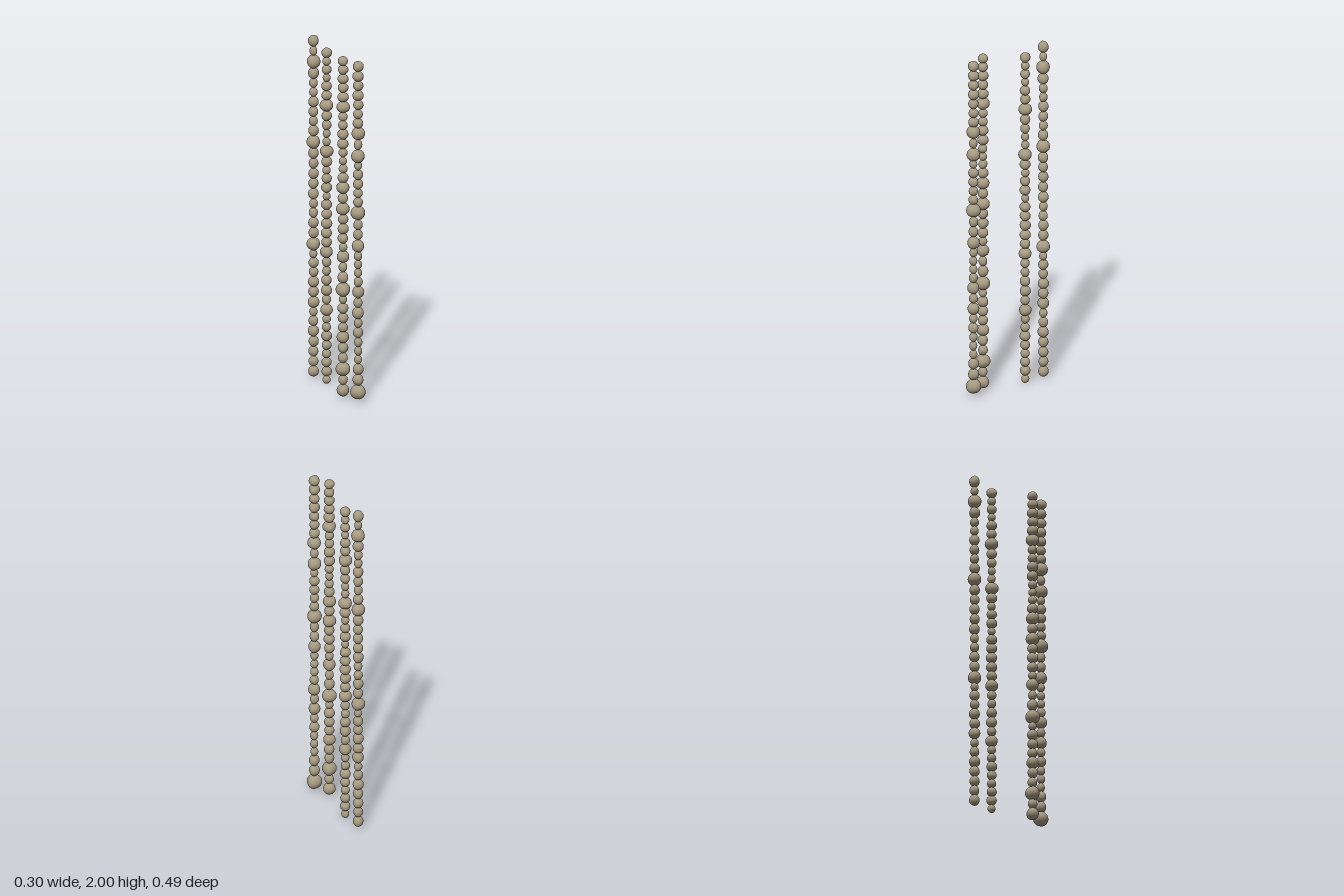
import * as THREE from 'three';
import { mergeVertices } from 'three/addons/utils/BufferGeometryUtils.js';

let seed;
function rand() {
  seed = (seed * 16807) % 2147483647;
  return seed / 2147483647;
}

// Round pebble with a slightly uneven surface
function pebble(phase) {
  let g = new THREE.IcosahedronGeometry(1, 4);
  g.deleteAttribute('uv');
  g.deleteAttribute('normal');
  g = mergeVertices(g, 1e-4);
  const p = g.attributes.position;
  const v = new THREE.Vector3();
  for (let i = 0; i < p.count; i++) {
    v.fromBufferAttribute(p, i);
    const a = Math.atan2(v.z, v.x);
    v.multiplyScalar(1 + 0.04 * Math.hypot(v.x, v.z) * Math.sin(3 * a + phase));
    p.setXYZ(i, v.x, v.y, v.z);
  }
  g.computeVertexNormals();
  return g;
}

// Fill the spaces between the key beads [height, radius] with small beads of mixed size
function layOutBeads(keys, step) {
  const beads = [{ y: keys[0][0], r: keys[0][1] }];
  for (let k = 1; k < keys.length; k++) {
    const [y0, r0] = keys[k - 1];
    const [y1, r1] = keys[k];
    const count = Math.round((y0 - y1) / step);
    const radii = [r0];
    for (let i = 1; i < count; i++) radii.push(0.0215 + 0.0095 * rand());
    radii.push(r1);
    // Beads sit apart in proportion to their sizes
    const h = radii.map((r) => r ** 0.7);
    const gaps = h.slice(1).map((v, i) => v + h[i]);
    const scale = (y0 - y1) / gaps.reduce((a, b) => a + b);
    let y = y0;
    gaps.forEach((gap, i) => {
      y -= gap * scale;
      beads.push({ y, r: radii[i + 1] });
    });
  }
  return beads;
}

function makeStrand(name, x, z, step, keys, shapes, material) {
  const strand = new THREE.Group();
  strand.name = name;
  strand.position.set(x, 0, z);
  const beads = layOutBeads(keys, step);
  // Share of the gap to a neighbour that belongs to this bead
  const reach = (a, b) => Math.abs(a.y - b.y) * a.r ** 0.7 / (a.r ** 0.7 + b.r ** 0.7);
  beads.forEach((b, i) => {
    const above = beads[i - 1] ?? beads[i + 1];
    const below = beads[i + 1] ?? beads[i - 1];
    const bead = new THREE.Mesh(shapes[i % shapes.length], material);
    bead.name = 'bead';
    bead.position.y = b.y;
    bead.scale.set(b.r, (reach(b, above) + reach(b, below)) * 0.52, b.r);
    bead.rotation.set((rand() - 0.5) * 0.2, rand() * Math.PI * 2, (rand() - 0.5) * 0.2);
    strand.add(bead);
  });
  return strand;
}

export function createModel() {
  seed = 7;
  const model = new THREE.Group();
  model.name = 'beadStrands';
  const stone = new THREE.MeshStandardMaterial({ color: 0xa69a82 });
  stone.name = 'warm grey stone';
  const shapes = [0, 1.3, 2.6, 4.1].map(pebble);
  const add = (name, x, z, step, keys) => model.add(makeStrand(name, x, z, step, keys, shapes, stone));

  add('backRightStrand', -0.112, -0.208, 0.058,
    [[1.968, 0.029], [1.846, 0.037], [1.377, 0.037], [0.781, 0.037], [0.442, 0.032], [0.038, 0.029]]);
  add('backLeftStrand', -0.047, -0.1, 0.0545,
    [[1.936, 0.029], [1.629, 0.037], [1.359, 0.037], [0.771, 0.035], [0.434, 0.034], [0.025, 0.022]]);
  add('frontRightStrand', 0.028, 0.143, 0.0555,
    [[1.974, 0.028], [1.706, 0.037], [1.234, 0.036], [1.11, 0.037], [0.832, 0.034], [0.638, 0.04],
      [0.36, 0.034], [0.175, 0.04], [0.05, 0.034]]);
  add('frontLeftStrand', 0.107, 0.205, 0.058,
    [[1.963, 0.03], [1.571, 0.037], [1.438, 0.037], [1.107, 0.04], [0.914, 0.034], [0.644, 0.033],
      [0.522, 0.032], [0.061, 0.042]]);
  return model;
}
